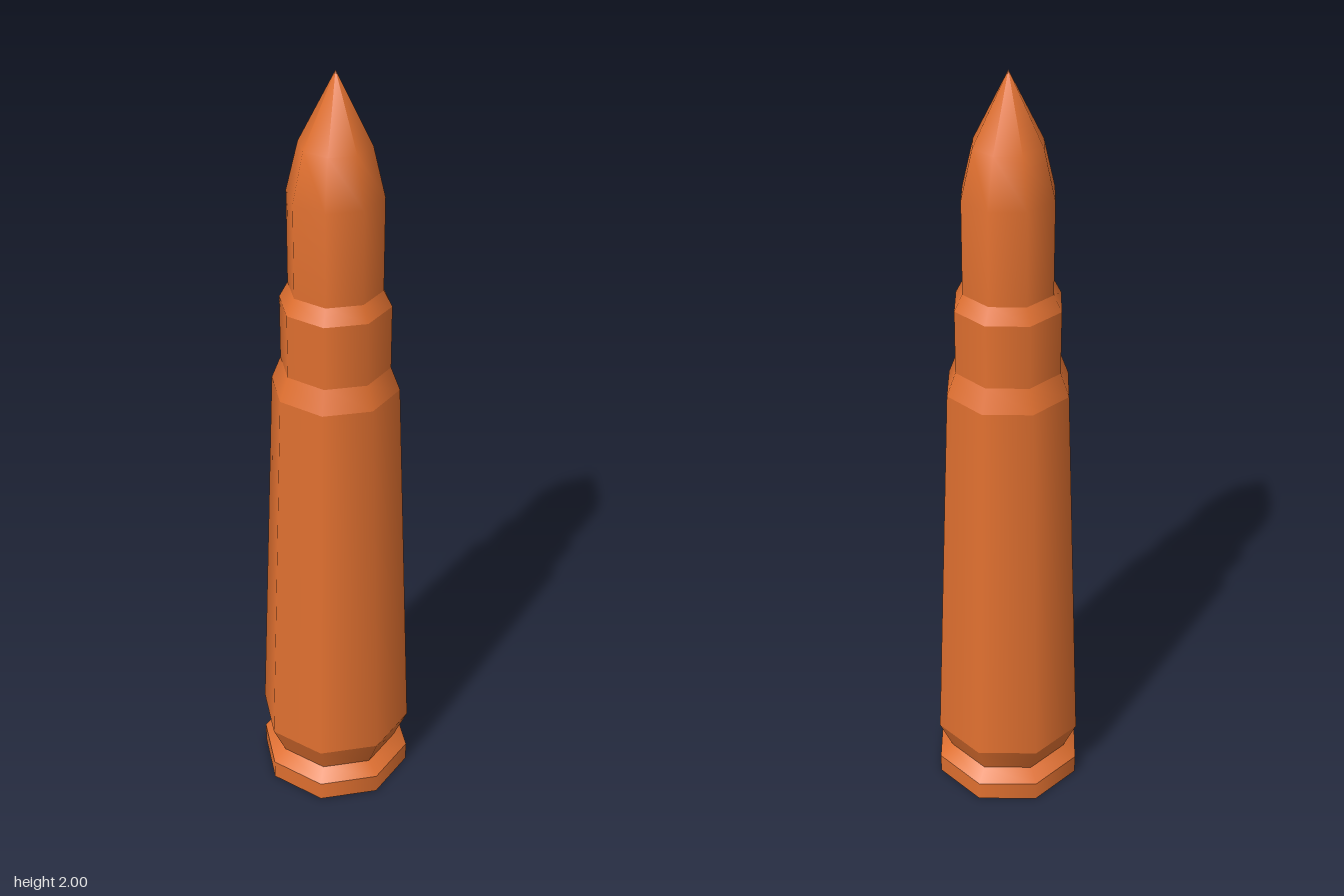
import * as THREE from 'three';

const SIDES = 8;

export function createModel() {
  const group = new THREE.Group();
  const copper = new THREE.MeshStandardMaterial({ color: 0xe07030 });
  copper.name = 'copper';

  // Each section is its own lathe: smooth around, with a crisp edge to the next
  function section(name, ...profile) {
    const points = profile.map(([r, y]) => new THREE.Vector2(r, y));
    const mesh = new THREE.Mesh(new THREE.LatheGeometry(points, SIDES), copper);
    mesh.name = name;
    group.add(mesh);
  }

  // Rim and extractor groove
  section('base', [0, 0], [0.203, 0]);
  section('rim', [0.203, 0], [0.203, 0.054]);
  section('rimBevel', [0.203, 0.054], [0.167, 0.085]);
  section('groove', [0.167, 0.085], [0.203, 0.168]);

  // Tapered case, shoulder and neck
  section('caseBody', [0.203, 0.168], [0.16, 1.21]);
  section('shoulder', [0.16, 1.21], [0.137, 1.27]);
  section('neck', [0.137, 1.27], [0.137, 1.435]);
  section('neckLip', [0.137, 1.435], [0.116, 1.475]);

  // Pointed tip with a smooth profile
  section('tip', [0.116, 1.475], [0.116, 1.71], [0.087, 1.83], [0, 2]);

  return group;
}
